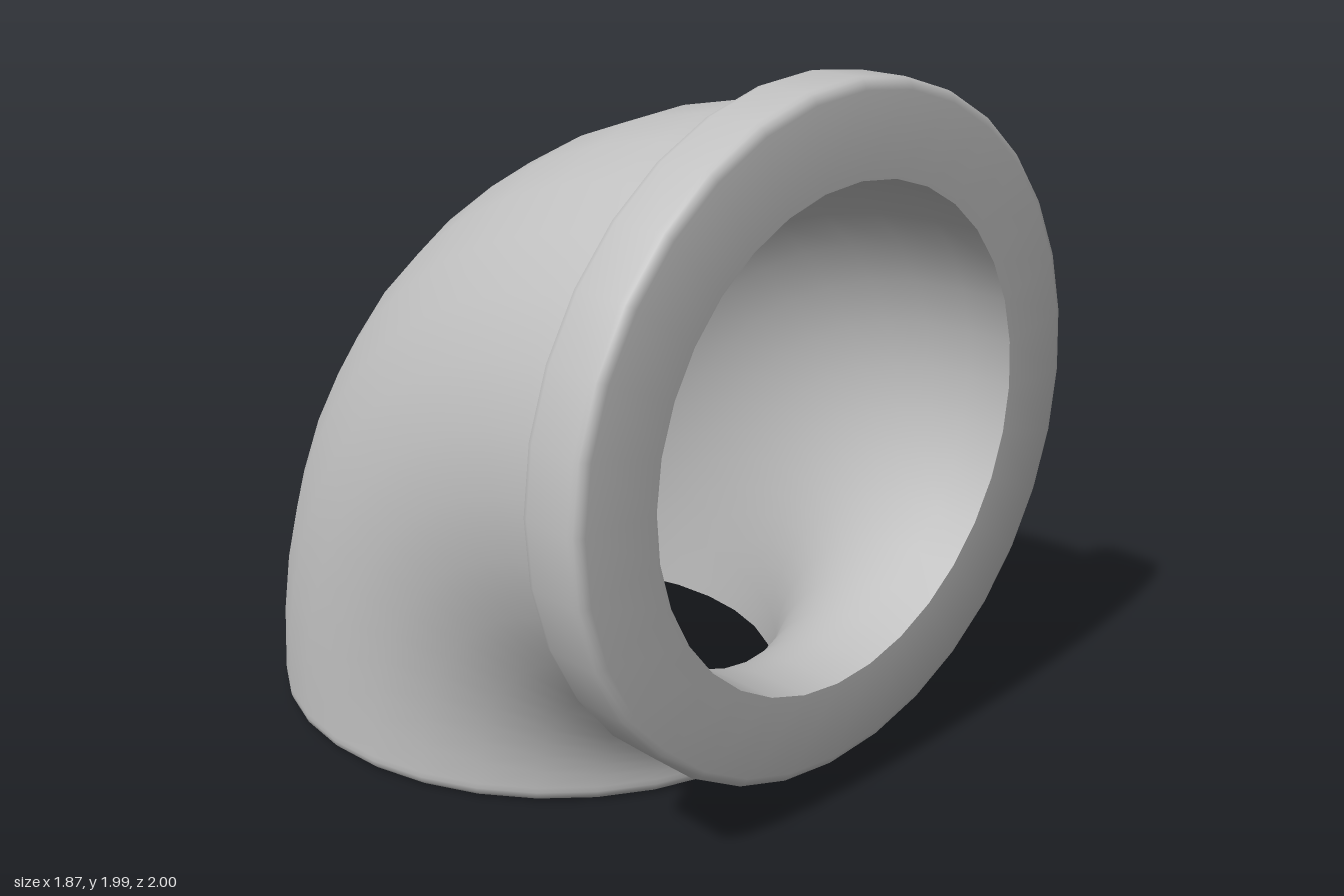
import * as THREE from 'three';
import { toCreasedNormals } from 'three/addons/utils/BufferGeometryUtils.js';

const SIDES = 32, BEND_STEPS = 12;
const BEND_R = 1.005, BEND_Y = 0.045, BEND_Z = 0.86; // bend radius and its centre
const OUTER = 0.855, BORE = 0.685, FLANGE = 0.937, FILLET = 0.03;
const END = Math.PI / 2;

// Skins circular sections [bend angle, offset along the pipe, radius]
function skin(sections) {
  const pos = [], index = [];
  for (const [t, s, r] of sections) {
    for (let j = 0; j < SIDES; j++) {
      const a = (j / SIDES) * Math.PI * 2;
      const d = BEND_R + r * Math.cos(a);
      pos.push(
        r * Math.sin(a),
        BEND_Y + d * Math.sin(t) + s * Math.cos(t),
        BEND_Z - d * Math.cos(t) + s * Math.sin(t)
      );
    }
  }
  for (let i = 0; i < sections.length - 1; i++) {
    for (let j = 0; j < SIDES; j++) {
      const a = i * SIDES + j, c = i * SIDES + (j + 1) % SIDES;
      const b = a + SIDES, d = c + SIDES;
      index.push(a, b, c, b, d, c);
    }
  }
  const geo = new THREE.BufferGeometry();
  geo.setAttribute('position', new THREE.Float32BufferAttribute(pos, 3));
  geo.setIndex(index);
  return toCreasedNormals(geo, 0.7);
}

// Quarter-round edge of a straight end; from and to are angles in the profile
function fillet(t, s, r, from, to) {
  const out = [];
  for (let k = 0; k <= 3; k++) {
    const a = from + (to - from) * k / 3;
    out.push([t, s + FILLET * Math.sin(a), r + FILLET * Math.cos(a)]);
  }
  return out;
}

// Sections around the bend at one radius
function bend(r) {
  return Array.from({ length: BEND_STEPS + 1 }, (_, i) => [END * i / BEND_STEPS, 0, r]);
}

export function createModel() {
  const group = new THREE.Group();
  group.name = 'pipeElbow';
  const grey = new THREE.MeshStandardMaterial({ color: 0xc0c0c0 });
  grey.name = 'light grey';

  const add = (name, sections) => {
    const mesh = new THREE.Mesh(skin(sections), grey);
    mesh.name = name;
    group.add(mesh);
  };

  const front = 1 - BEND_Z, back = 0.8 - BEND_Z;

  // Curved pipe: bore down from the mouth, lower rim, then the outside back up
  add('elbowPipe', [
    [END, front, BORE],
    ...bend(BORE).reverse(),
    [0, -BEND_Y, BORE],
    ...fillet(0, -BEND_Y + FILLET, OUTER - FILLET, -END, 0),
    ...bend(OUTER),
  ]);

  // Collar around the mouth, with rounded edges
  add('flange', [
    [END, back, OUTER - 0.05],
    ...fillet(END, back + FILLET, FLANGE - FILLET, -END, 0),
    ...fillet(END, front - FILLET, FLANGE - FILLET, 0, END),
    [END, front, BORE],
  ]);

  return group;
}
